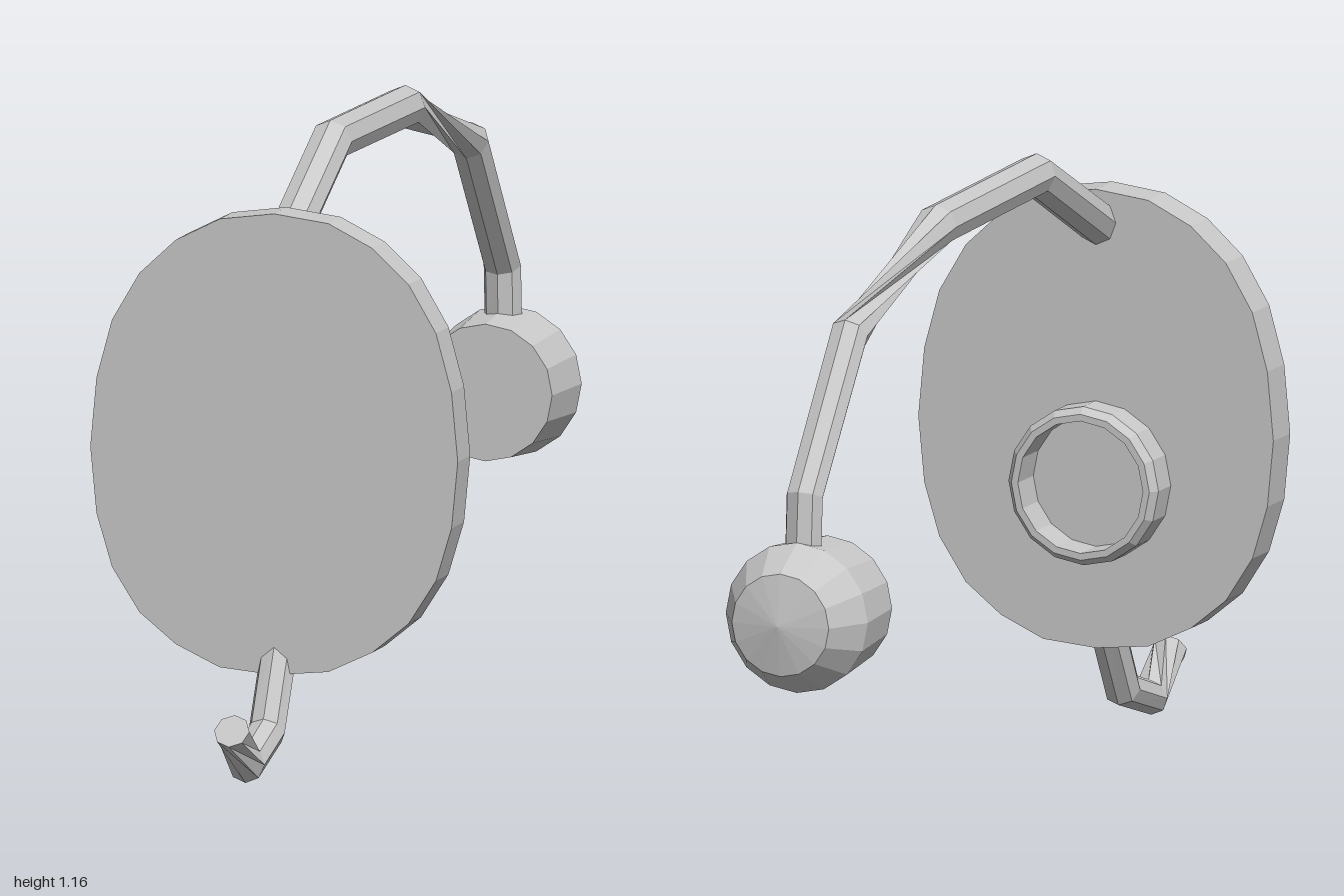
import * as THREE from 'three';

const grey = new THREE.MeshStandardMaterial({ color: 0xc8c8c8 });

// Gives every facet its own flat normal
function faceted(geometry) {
  const g = geometry.index ? geometry.toNonIndexed() : geometry;
  g.computeVertexNormals();
  return g;
}

function part(name, geometry) {
  const mesh = new THREE.Mesh(faceted(geometry), grey);
  mesh.name = name;
  return mesh;
}

// Octagonal rod along nodes of [z, y, radius, twist in degrees] in the x = 0 plane
function rod(nodes) {
  const sides = 8, pos = [], idx = [];
  const pts = nodes.map(([z, y]) => new THREE.Vector3(0, y, z));
  const dirs = pts.slice(1).map((p, i) => p.clone().sub(pts[i]).normalize());
  nodes.forEach(([z, y, r, twist], i) => {
    const t = dirs[Math.max(i - 1, 0)].clone()
      .add(dirs[Math.min(i, dirs.length - 1)]).normalize();
    for (let j = 0; j < sides; j++) {
      const a = j / sides * Math.PI * 2 + THREE.MathUtils.degToRad(twist);
      const s = Math.sin(a) * r;
      pos.push(Math.cos(a) * r, y - t.z * s, z + t.y * s);
    }
  });
  for (let i = 0; i < nodes.length - 1; i++) {
    for (let j = 0; j < sides; j++) {
      const a = i * sides + j, b = i * sides + (j + 1) % sides;
      idx.push(a, a + sides, b, b, a + sides, b + sides);
    }
  }
  // End caps
  const last = (nodes.length - 1) * sides;
  for (let j = 1; j < sides - 1; j++) {
    idx.push(0, j, j + 1, last, last + j + 1, last + j);
  }
  const g = new THREE.BufferGeometry();
  g.setAttribute('position', new THREE.Float32BufferAttribute(pos, 3));
  g.setIndex(idx);
  return g;
}

// Turned part with its axis along z, from [radius, z] points
function turned(profile, y) {
  const pts = profile.map(([r, z]) => new THREE.Vector2(r, z));
  return new THREE.LatheGeometry(pts, 16).rotateX(Math.PI / 2).translate(0, y, 0);
}

export function createModel() {
  const group = new THREE.Group();
  group.name = 'wallHook';

  // Oval plate: right half of the outline, mirrored for the left
  const half = [
    [0, 0.18], [0.105, 0.19], [0.19, 0.23], [0.26, 0.287], [0.313, 0.37], [0.343, 0.47],
    [0.355, 0.595], [0.343, 0.725], [0.313, 0.835], [0.26, 0.925], [0.19, 0.99],
    [0.105, 1.033], [0, 1.047],
  ];
  const mirrored = half.slice(1, -1).reverse().map(([x, y]) => [-x, y]);
  const outline = [...half, ...mirrored].map(([x, y]) => new THREE.Vector2(x, y));
  const plate = new THREE.ExtrudeGeometry(new THREE.Shape(outline),
    { depth: 0.085, bevelEnabled: false });
  plate.translate(0, 0, 0.605);
  group.add(part('ovalPlate', plate));

  // Open collar on the back of the plate
  group.add(part('backCollar', turned(
    [[0.125, 0.61], [0.125, 0.527], [0.138, 0.527], [0.15, 0.543], [0.15, 0.61]], 0.497)));

  // Arched arm running back from the plate to the knob
  group.add(part('archedArm', rod([
    [0.64, 0.97, 0.04, 0], [0.3, 1.127, 0.04, 0], [-0.195, 1.117, 0.04, 0],
    [-0.637, 0.987, 0.037, -90], [-0.86, 0.72, 0.036, -90], [-0.868, 0.6, 0.036, -90],
  ])));

  // Hook curling forward below the plate
  group.add(part('lowerHook', rod([
    [0.645, 0.24, 0.035, 0], [0.74, 0.08, 0.035, 0],
    [0.877, 0.04, 0.035, 45], [0.977, 0.117, 0.034, 135],
  ])));

  // Rounded knob at the rear end of the arm
  group.add(part('rearKnob', turned(
    [[0, -1], [0.097, -0.983], [0.142, -0.9], [0.129, -0.745], [0, -0.745]], 0.497)));

  return group;
}
